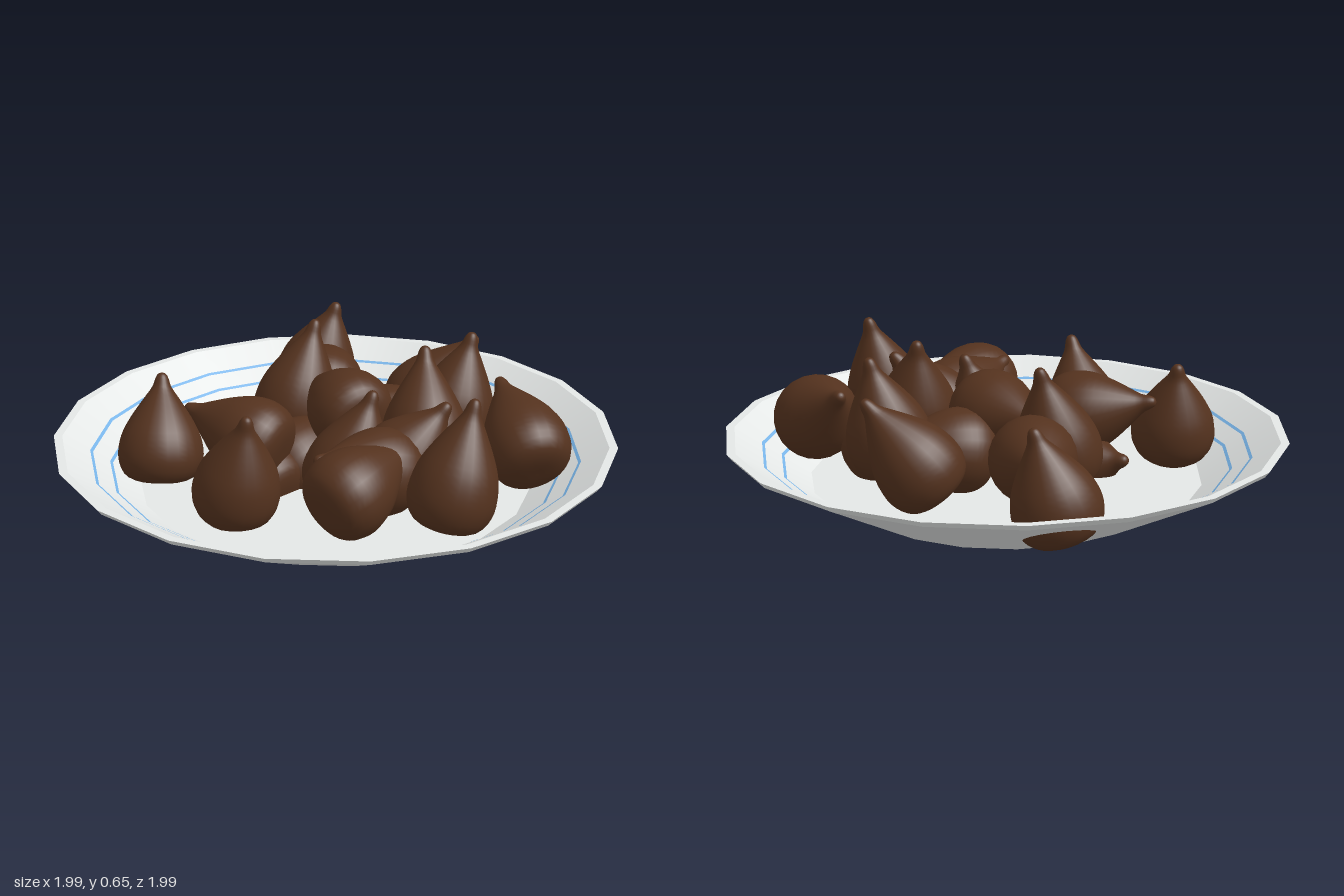
import * as THREE from 'three';

const SIDES = 19;

export function createModel() {
  const model = new THREE.Group();
  model.name = 'bowlOfChocolates';

  const porcelain = new THREE.MeshStandardMaterial({ color: 0xe6e9e8 });
  porcelain.name = 'pale grey porcelain';
  const blue = new THREE.MeshStandardMaterial({ color: 0x7ab6ea });
  blue.name = 'blue glaze';
  const chocolate = new THREE.MeshStandardMaterial({ color: 0x54321e });
  chocolate.name = 'milk chocolate';

  // Bowl: one lathe per profile segment keeps the profile corners sharp
  const bowl = new THREE.Group();
  bowl.name = 'bowl';
  bowl.position.x = -0.005;
  const addBand = (name, r0, y0, r1, y1, material) => {
    const points = [new THREE.Vector2(r0, y0), new THREE.Vector2(r1, y1)];
    const band = new THREE.Mesh(new THREE.LatheGeometry(points, SIDES, Math.PI / 2), material);
    band.name = name;
    bowl.add(band);
  };
  const profile = [
    ['base', 0, 0.08], ['outerWall', 0.55, 0.08], ['rimEdge', 0.985, 0.31],
    ['rimTop', 1.0, 0.33], ['innerWall', 0.97, 0.33], ['floor', 0.7, 0.16], ['', 0, 0.16],
  ];
  for (let i = 0; i < profile.length - 1; i++) {
    const [name, r0, y0] = profile[i];
    const [, r1, y1] = profile[i + 1];
    addBand(name, r0, y0, r1, y1, porcelain);
  }

  // Painted rings lying just above the inner wall
  const wallY = (r) => 0.16 + (r - 0.7) * (0.17 / 0.27) + 0.003;
  for (const [name, r] of [['lowerRing', 0.8], ['upperRing', 0.869]]) {
    addBand(name, r + 0.005, wallY(r + 0.005), r - 0.005, wallY(r - 0.005), blue);
  }

  // Painted arcs under the base
  for (const [name, middle] of [['baseArcLeft', -0.55], ['baseArcRight', Math.PI - 0.55]]) {
    const arc = new THREE.Mesh(new THREE.RingGeometry(0.46, 0.478, 20, 1, middle - 0.75, 1.5), blue);
    arc.name = name;
    arc.rotation.x = Math.PI / 2;
    arc.position.y = 0.077;
    bowl.add(arc);
  }
  model.add(bowl);

  // Teardrop chocolate: unit height, rounded foot, drawn-out tip
  const outline = new THREE.SplineCurve([
    [0, 0], [0.07, 0.005], [0.122, 0.06], [0.148, 0.18], [0.151, 0.31], [0.136, 0.46],
    [0.104, 0.61], [0.064, 0.76], [0.034, 0.87], [0.023, 0.95], [0.013, 0.99], [0, 1],
  ].map(([x, y]) => new THREE.Vector2(x, y)));
  const points = outline.getPoints(30).map((p) => new THREE.Vector2(Math.max(p.x, 0), p.y));
  const dropGeometry = new THREE.LatheGeometry(points, 24);

  // Each entry: foot centre x, y, z, then tip x, y, z
  const drops = [
    // upright around the edge
    [-0.60, 0.18, -0.43, -0.53, 0.56, -0.52],
    [-0.09, 0.22, -0.45, 0.10, 0.56, -0.63],
    [0.61, 0.20, 0.09, 0.63, 0.64, -0.03],
    [-0.37, 0.18, 0.51, -0.45, 0.55, 0.42],
    [-0.03, 0.15, 0.47, 0.08, 0.56, 0.49],
    // upright in the middle
    [-0.31, 0.21, -0.05, -0.29, 0.64, -0.18],
    [0.18, 0.23, -0.37, 0.22, 0.65, -0.47],
    [0.31, 0.25, -0.13, 0.21, 0.66, -0.23],
    [0.15, 0.16, 0.15, 0.21, 0.56, 0.02],
    // lying on top
    [-0.25, 0.32, -0.17, -0.52, 0.40, -0.47],
    [0.12, 0.39, -0.03, -0.27, 0.43, -0.14],
    [0.67, 0.29, -0.32, 0.33, 0.50, -0.49],
    [0.41, 0.31, 0.46, 0.43, 0.44, 0.07],
    [-0.02, 0.32, 0.24, -0.40, 0.42, 0.36],
    // lying underneath
    [-0.03, 0.28, -0.13, 0.16, 0.35, -0.47],
    [0.25, 0.27, -0.30, 0.62, 0.25, -0.15],
    [0.30, 0.25, 0.08, 0.45, 0.55, -0.10],
    [0.38, 0.30, 0.03, 0.31, 0.45, 0.40],
    [-0.14, 0.17, 0.19, -0.10, 0.30, -0.22],
    [-0.02, 0.135, 0.22, -0.38, 0.23, 0.22],
  ];
  const up = new THREE.Vector3(0, 1, 0);
  drops.forEach(([x, y, z, tx, ty, tz], i) => {
    const axis = new THREE.Vector3(tx - x, ty - y, tz - z);
    const drop = new THREE.Mesh(dropGeometry, chocolate);
    drop.name = `chocolateDrop${i + 1}`;
    drop.position.set(x, y, z);
    drop.scale.set(1, axis.length(), 1);
    drop.quaternion.setFromUnitVectors(up, axis.normalize());
    model.add(drop);
  });

  return model;
}
